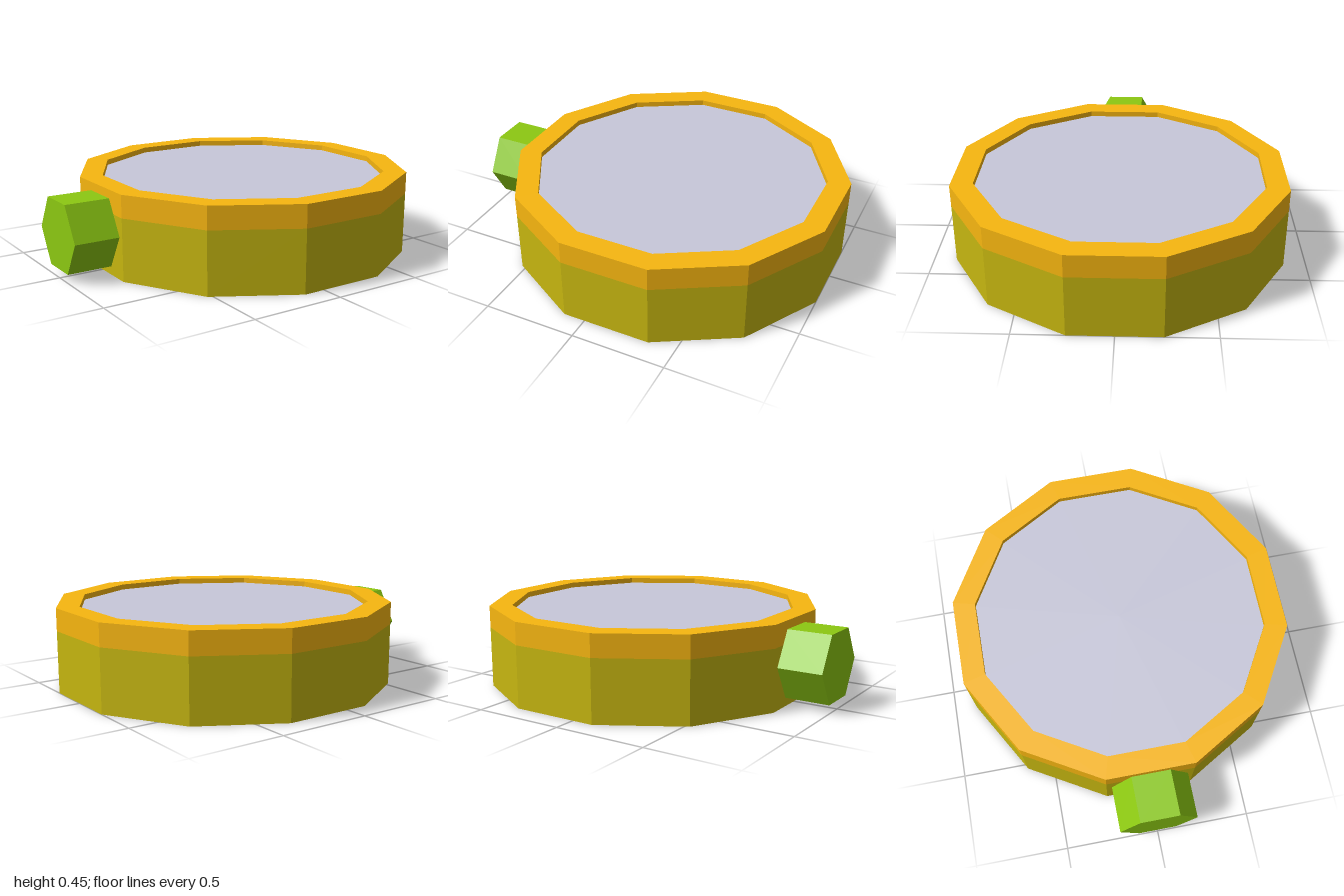
import * as THREE from 'three';

const SIDES = 12;
const TURN = Math.PI / SIDES; // puts a flat side towards each axis
const OUTER = 0.88 / Math.cos(TURN);
const INNER = 0.762 / Math.cos(TURN);
const CENTRE_X = 0.12;

function part(name, geometry, color, x, y) {
  const material = new THREE.MeshStandardMaterial({ color, flatShading: true });
  const mesh = new THREE.Mesh(geometry, material);
  mesh.name = name;
  mesh.position.set(x, y, 0);
  return mesh;
}

export function createModel() {
  const model = new THREE.Group();
  model.name = 'watchCase';

  // Solid lower case
  const body = new THREE.CylinderGeometry(OUTER, OUTER, 0.33, SIDES, 1, false, TURN);
  model.add(part('caseBody', body, 0xc6b610, CENTRE_X, 0.165));

  // Raised rim: outer wall, flat top, inner wall
  const profile = [[OUTER, 0.33], [OUTER, 0.45], [INNER, 0.45], [INNER, 0.33]]
    .map(([r, y]) => new THREE.Vector2(r, y));
  const rim = new THREE.LatheGeometry(profile, SIDES, TURN);
  model.add(part('bezel', rim, 0xf7b610, CENTRE_X, 0));

  // Dial plate, slightly sunk below the rim
  const dial = new THREE.CylinderGeometry(INNER, INNER, 0.09, SIDES, 1, false, TURN);
  model.add(part('dial', dial, 0xc8c8da, CENTRE_X, 0.375));

  // Hexagonal winding crown on the right side
  const crown = new THREE.CylinderGeometry(0.207, 0.207, 0.24, 6);
  crown.rotateZ(Math.PI / 2);
  model.add(part('crown', crown, 0x8cc812, -0.88, 0.225));

  return model;
}
